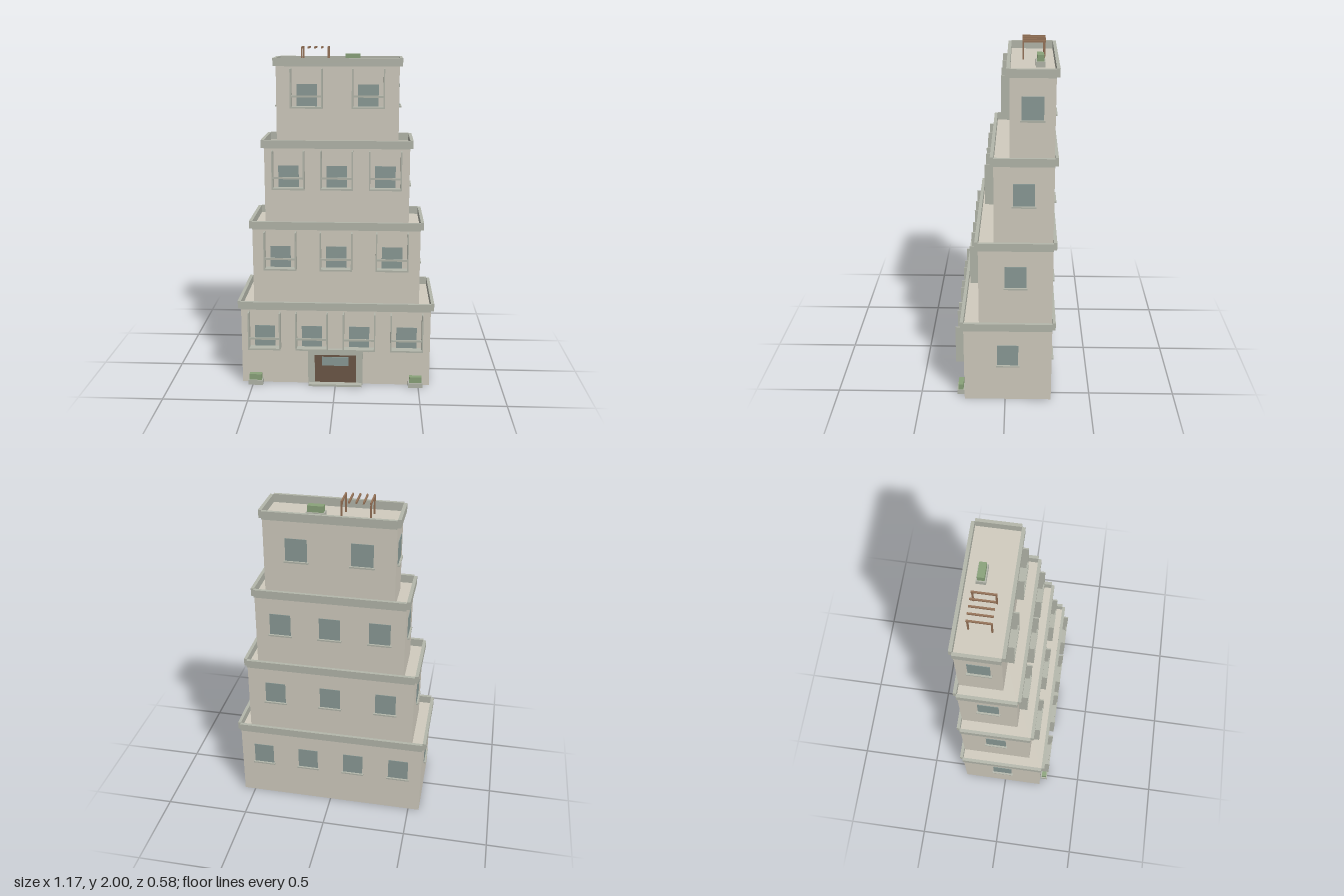
import * as THREE from 'three';

const mat = (color) => new THREE.MeshStandardMaterial({ color });
const WALL = mat(0xd1ccbf), TRIM = mat(0xb4b7ab), GLASS = mat(0x8b9b97);
const DOOR = mat(0x6d5847), GREEN = mat(0x8aa37a), WOOD = mat(0x967358);

// Box given by its limits on each axis
function box(parent, name, material, [x0, x1], [y0, y1], [z0, z1]) {
  const m = new THREE.Mesh(new THREE.BoxGeometry(x1 - x0, y1 - y0, z1 - z0), material);
  m.position.set((x0 + x1) / 2, (y0 + y1) / 2, (z0 + z1) / 2);
  m.name = name;
  parent.add(m);
  return m;
}

function group(parent, name, x = 0, y = 0, z = 0, turn = 0) {
  const g = new THREE.Group();
  g.name = name;
  g.position.set(x, y, z);
  g.rotation.y = turn;
  parent.add(g);
  return g;
}

const H = 0.4725, BACK = -0.27, RIM = 0.019;

// Window facing local +z, standing on local y = 0
function addWindow(parent, x, y, z, turn, sill) {
  const g = group(parent, 'window', x, y, z, turn);
  box(g, 'glass', GLASS, [-0.061, 0.061], [0.005, 0.136], [-0.005, 0.003]);
  if (sill) box(g, 'sill', TRIM, [-0.069, 0.069], [-0.004, 0.005], [-0.005, 0.014]);
}

// Balcony: floor slab, two side fins and a front rail
function addBalcony(parent, x, y, z) {
  const g = group(parent, 'balcony', x, y, z);
  const d = 0.049;
  box(g, 'balconyFloor', TRIM, [-0.097, 0.097], [-0.004, 0.006], [0, d]);
  for (const s of [-1, 1]) {
    box(g, 'balconyFin', TRIM, [s * 0.093 - 0.004, s * 0.093 + 0.004], [0.006, 0.228], [0, d]);
  }
  box(g, 'balconyRail', TRIM, [-0.089, 0.089], [0.062, 0.074], [d - 0.008, d]);
}

function addPlanter(parent, x, y, z, w, d) {
  const g = group(parent, 'planter', x, y, z);
  box(g, 'planterBox', TRIM, [-w / 2, w / 2], [0, 0.03], [-d / 2, d / 2]);
  box(g, 'hedge', GREEN, [-w / 2 + 0.007, w / 2 - 0.007], [0.03, 0.066], [-d / 2 + 0.007, d / 2 - 0.007]);
}

function addStorey(parent, level, halfW, front, bays) {
  const y = level * H, g = group(parent, 'storey' + (level + 1));
  box(g, 'walls', WALL, [-halfW, halfW], [y, y + H], [BACK, front]);

  // Parapet strips around the wall line, leaving the corners notched
  const py = [y + H, y + H + 0.047];
  box(g, 'parapetFront', TRIM, [-halfW, halfW], py, [front, front + RIM]);
  box(g, 'parapetBack', TRIM, [-halfW, halfW], py, [BACK - RIM, BACK]);
  for (const s of [-1, 1]) {
    const x = s * (halfW + RIM / 2);
    box(g, 'parapetSide', TRIM, [x - RIM / 2, x + RIM / 2], py, [BACK, front]);
    addWindow(g, s * halfW, y + 0.232, (front + BACK) / 2, s * Math.PI / 2, true);
  }

  // Bays: balconies in front, plain windows behind
  for (let i = 0; i < bays; i++) {
    const x = (i - (bays - 1) / 2) * 2 * halfW / bays;
    addWindow(g, x, y + 0.232, front, 0, false);
    addBalcony(g, x, y + 0.232, front);
    addWindow(g, x, y + 0.232, BACK, Math.PI, true);
  }
}

export function createModel() {
  const model = new THREE.Group();
  model.name = 'terracedBuilding';

  [[0.567, 0.239, 4], [0.5, 0.153, 3], [0.432, 0.066, 3], [0.365, -0.022, 2]]
    .forEach(([halfW, front, bays], level) => addStorey(model, level, halfW, front, bays));

  // Entrance
  const e = group(model, 'entrance', 0, 0, 0.239);
  for (const s of [-1, 1]) {
    box(e, 'doorJamb', TRIM, [s * 0.145 - 0.02, s * 0.145 + 0.02], [0, 0.215], [0, 0.017]);
  }
  box(e, 'doorHeader', TRIM, [-0.125, 0.125], [0.19, 0.215], [0, 0.017]);
  box(e, 'door', DOOR, [-0.125, 0.125], [0.012, 0.19], [0, 0.014]);
  box(e, 'transom', GLASS, [-0.08, 0.08], [0.122, 0.177], [0.01, 0.019]);
  box(e, 'canopy', TRIM, [-0.2, 0.2], [0.215, 0.226], [0, 0.022]);
  box(e, 'step', TRIM, [-0.16, 0.16], [0, 0.013], [0, 0.051]);

  // Planters at the door and on the roof
  for (const s of [-1, 1]) addPlanter(model, s * 0.483, 0, 0.264, 0.088, 0.044);
  const roof = 4 * H;
  addPlanter(model, 0.086, roof, -0.189, 0.103, 0.053);

  // Roof pergola
  const p = group(model, 'pergola', -0.137, roof, -0.155);
  const top = 2 - roof, r = 0.0045;
  for (let i = -2; i <= 2; i++) {
    const x = i * 0.0392;
    box(p, 'pergolaBeam', WOOD, [x - r, x + r], [top - 0.011, top], [-0.067, 0.067]);
    if (Math.abs(i) < 2) continue;
    for (const z of [-0.059, 0.063]) {
      box(p, 'pergolaPost', WOOD, [x - r, x + r], [0, top - 0.011], [z - r, z + r]);
    }
  }
  return model;
}
